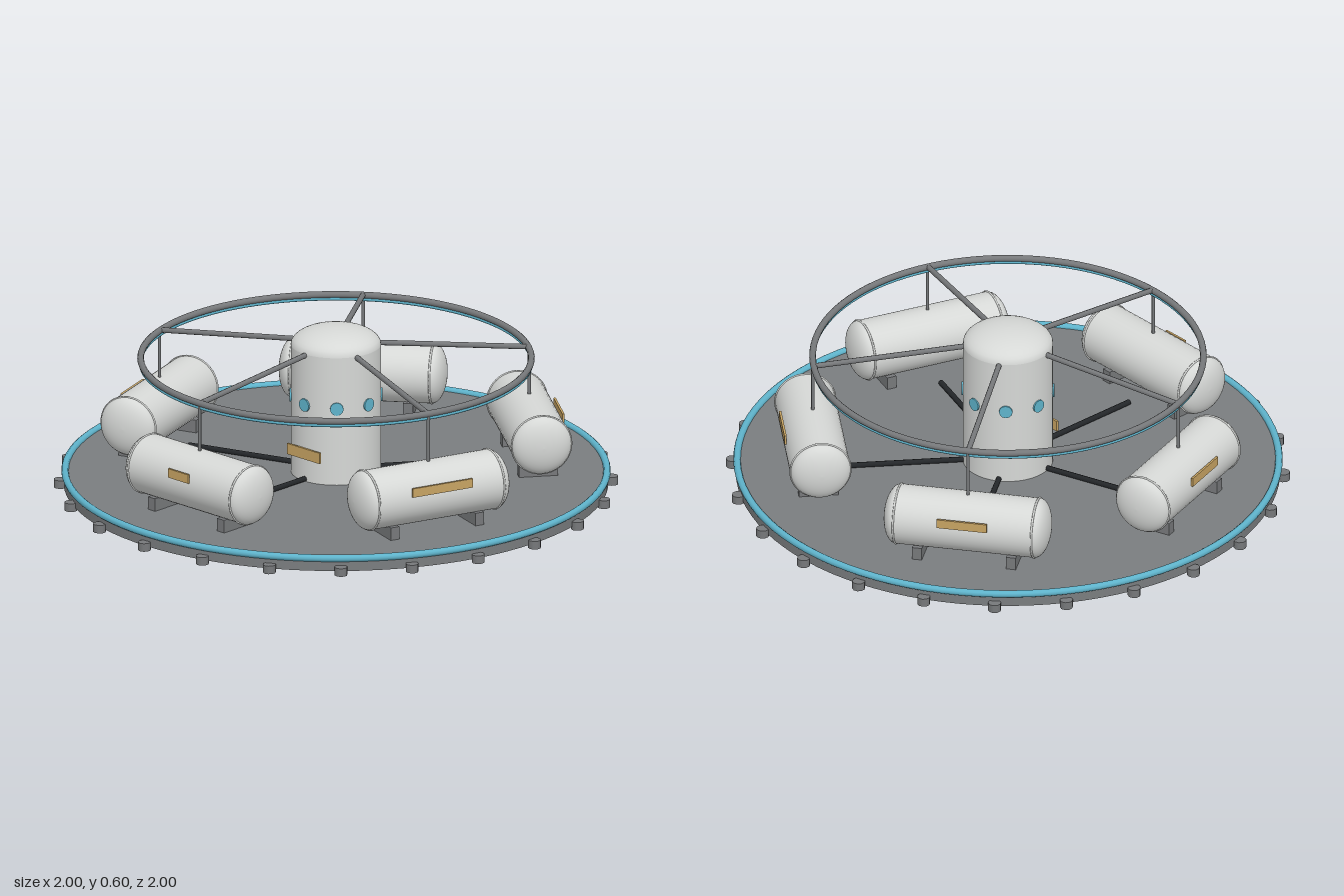
import * as THREE from 'three';

const mat = (name, color) => {
  const m = new THREE.MeshStandardMaterial({ color });
  m.name = name;
  return m;
};

export function createModel() {
  const shell = mat('white shell', 0xd6d8d6);
  const deckGrey = mat('deck grey', 0x7a7d7f);
  const frameGrey = mat('frame grey', 0x77797b);
  const cyan = mat('cyan trim', 0x5fb4cc);
  const tan = mat('tan label', 0xc8a463);
  const black = mat('black hose', 0x24272a);

  const model = new THREE.Group();
  model.name = 'habitatPlatform';

  const add = (parent, name, geometry, material, x = 0, y = 0, z = 0) => {
    const mesh = new THREE.Mesh(geometry, material);
    mesh.name = name;
    mesh.position.set(x, y, z);
    parent.add(mesh);
    return mesh;
  };
  const hoop = (name, radius, tube, y, material) =>
    add(model, name, new THREE.TorusGeometry(radius, tube, 10, 96).rotateX(Math.PI / 2), material, 0, y, 0);
  // Round bar between two points
  const bar = (parent, name, a, b, radius, material) =>
    add(parent, name, new THREE.TubeGeometry(new THREE.LineCurve3(a, b), 1, radius, 8), material);
  // Quarter ellipse from the rim (radius r) up to the axis
  const domeProfile = (r, h, y) => Array.from({ length: 11 }, (_, i) => {
    const t = (i / 10) * Math.PI / 2;
    return new THREE.Vector2(i === 10 ? 0 : r * Math.cos(t), y + h * Math.sin(t));
  });

  // Deck with trim and rim bolts
  add(model, 'deck', new THREE.CylinderGeometry(0.965, 0.965, 0.045, 96), deckGrey, 0, 0.0325, 0);
  hoop('deckTrim', 0.96, 0.013, 0.056, cyan);
  for (let i = 0; i < 24; i++) {
    const a = (i / 24) * Math.PI * 2;
    add(model, 'rimBolt', new THREE.CylinderGeometry(0.023, 0.023, 0.03, 10), frameGrey,
      0.977 * Math.sin(a), 0.015, 0.977 * Math.cos(a));
  }

  // Central tower with a domed roof
  add(model, 'tower', new THREE.CylinderGeometry(0.16, 0.16, 0.475, 48, 1, true), shell, 0, 0.2925, 0);
  add(model, 'towerDome', new THREE.LatheGeometry(domeProfile(0.16, 0.065, 0.53), 48), shell);
  for (let i = 0; i < 8; i++) {
    const pivot = new THREE.Group();
    pivot.name = 'windowMount';
    pivot.rotation.y = (i / 8) * Math.PI * 2;
    add(pivot, 'window', new THREE.CylinderGeometry(0.024, 0.024, 0.009, 12).rotateX(Math.PI / 2),
      cyan, 0, 0.34, 0.16);
    model.add(pivot);
  }
  add(model, 'towerPlaque', new THREE.BoxGeometry(0.16, 0.04, 0.008), tan, 0, 0.16, 0.164);

  // Overhead hoop
  hoop('overheadHoop', 0.692, 0.012, 0.477, frameGrey);
  hoop('overheadLight', 0.692, 0.007, 0.462, cyan);

  // Tank shape: cylinder with flattened domes, lying along x
  const R = 0.107, HALF = 0.25, CAP = 0.05;
  const top = domeProfile(R, CAP, HALF);
  const bottom = top.map(p => new THREE.Vector2(p.x, -p.y)).reverse();
  const tankGeometry = new THREE.LatheGeometry([...bottom, ...top], 40).rotateZ(Math.PI / 2);
  const seamGeometry = new THREE.TorusGeometry(R, 0.004, 6, 40).rotateY(Math.PI / 2);

  // Five sectors: tank, feet, label, spoke, post and deck hose
  [0.1, 0.24, 0.18, 0.18, 0.18].forEach((labelLength, i) => {
    const sector = new THREE.Group();
    sector.name = 'sector';
    sector.rotation.y = (i / 5) * Math.PI * 2;
    model.add(sector);

    add(sector, 'tank', tankGeometry, shell, 0, 0.195, 0.695);
    for (const s of [-1, 1]) {
      add(sector, 'tankSeam', seamGeometry, shell, s * HALF, 0.195, 0.695);
      add(sector, 'tankFoot', new THREE.BoxGeometry(0.035, 0.05, 0.14), frameGrey, s * 0.17, 0.077, 0.695);
    }
    add(sector, 'tankLabel', new THREE.BoxGeometry(labelLength, 0.033, 0.008), tan, 0, 0.233, 0.802);

    bar(sector, 'spoke', new THREE.Vector3(0, 0.527, 0.14), new THREE.Vector3(0, 0.478, 0.69), 0.01, frameGrey);
    bar(sector, 'post', new THREE.Vector3(0, 0.295, 0.695), new THREE.Vector3(0, 0.475, 0.695), 0.006, frameGrey);
    bar(sector, 'deckHose', new THREE.Vector3(0, 0.064, 0.15), new THREE.Vector3(0, 0.064, 0.58), 0.01, black);
  });

  return model;
}
